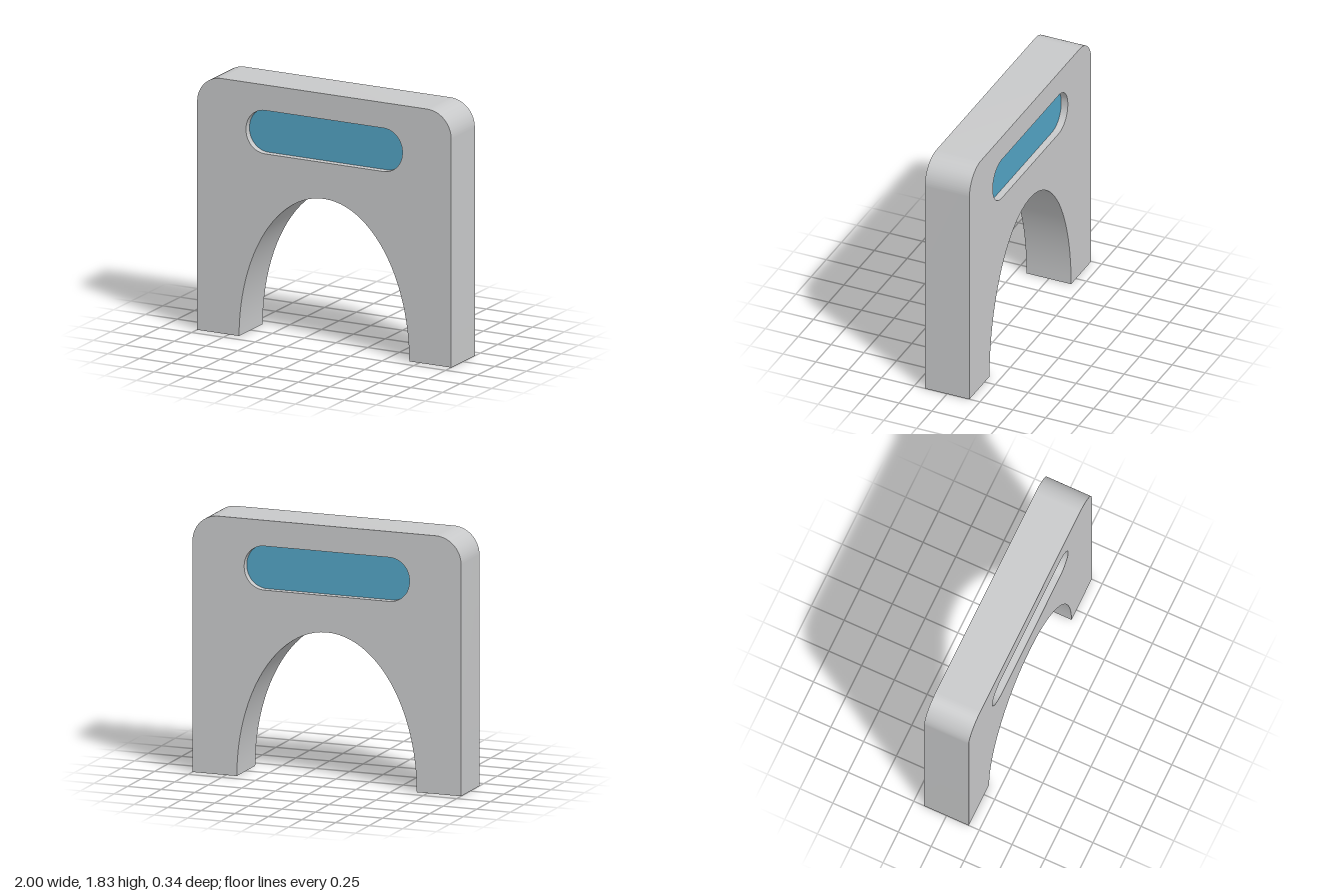
import * as THREE from 'three';
import { toCreasedNormals } from 'three/addons/utils/BufferGeometryUtils.js';

const DEPTH = 0.34, RECESS = 0.05;

// Rounded rectangle path used for both the opening and the pane
function roundedRect(path, x0, y0, x1, y1, r) {
  path.moveTo(x0 + r, y0);
  path.lineTo(x1 - r, y0);
  path.absarc(x1 - r, y0 + r, r, -Math.PI / 2, 0, false);
  path.absarc(x1 - r, y1 - r, r, 0, Math.PI / 2, false);
  path.absarc(x0 + r, y1 - r, r, Math.PI / 2, Math.PI, false);
  path.absarc(x0 + r, y0 + r, r, Math.PI, Math.PI * 1.5, false);
  return path;
}

// Extrude centred on z = 0, smooth along curves and sharp at edges
function slab(shape, depth) {
  const g = new THREE.ExtrudeGeometry(shape, { depth, bevelEnabled: false, curveSegments: 24 });
  g.translate(0, 0, -depth / 2);
  return toCreasedNormals(g, 0.5);
}

export function createModel() {
  const grey = new THREE.MeshStandardMaterial({ color: 0xc8c9ca });
  grey.name = 'light grey';
  const blue = new THREE.MeshStandardMaterial({ color: 0x52a3c4 });
  blue.name = 'blue';

  const W = 1, H = 1.83, R = 0.19;
  const archW = 0.67, archH = 1.075;
  const windowRect = [-0.615, 1.335, 0.615, 1.647, 0.15];

  // Outline with rounded top corners and an elliptical archway
  const outline = new THREE.Shape();
  outline.moveTo(archW, 0);
  outline.lineTo(W, 0);
  outline.lineTo(W, H - R);
  outline.absarc(W - R, H - R, R, 0, Math.PI / 2, false);
  outline.absarc(-W + R, H - R, R, Math.PI / 2, Math.PI, false);
  outline.lineTo(-W, 0);
  outline.lineTo(-archW, 0);
  outline.absellipse(0, 0, archW, archH, Math.PI, 0, true, 0);
  outline.holes.push(roundedRect(new THREE.Path(), ...windowRect));

  const frame = new THREE.Mesh(slab(outline, DEPTH), grey);
  frame.name = 'archFrame';

  // Blue pane, recessed on both faces
  const pane = new THREE.Mesh(
    slab(roundedRect(new THREE.Shape(), ...windowRect), DEPTH - 2 * RECESS), blue);
  pane.name = 'recessedPane';

  const model = new THREE.Group();
  model.name = 'arch';
  model.add(frame, pane);
  return model;
}
